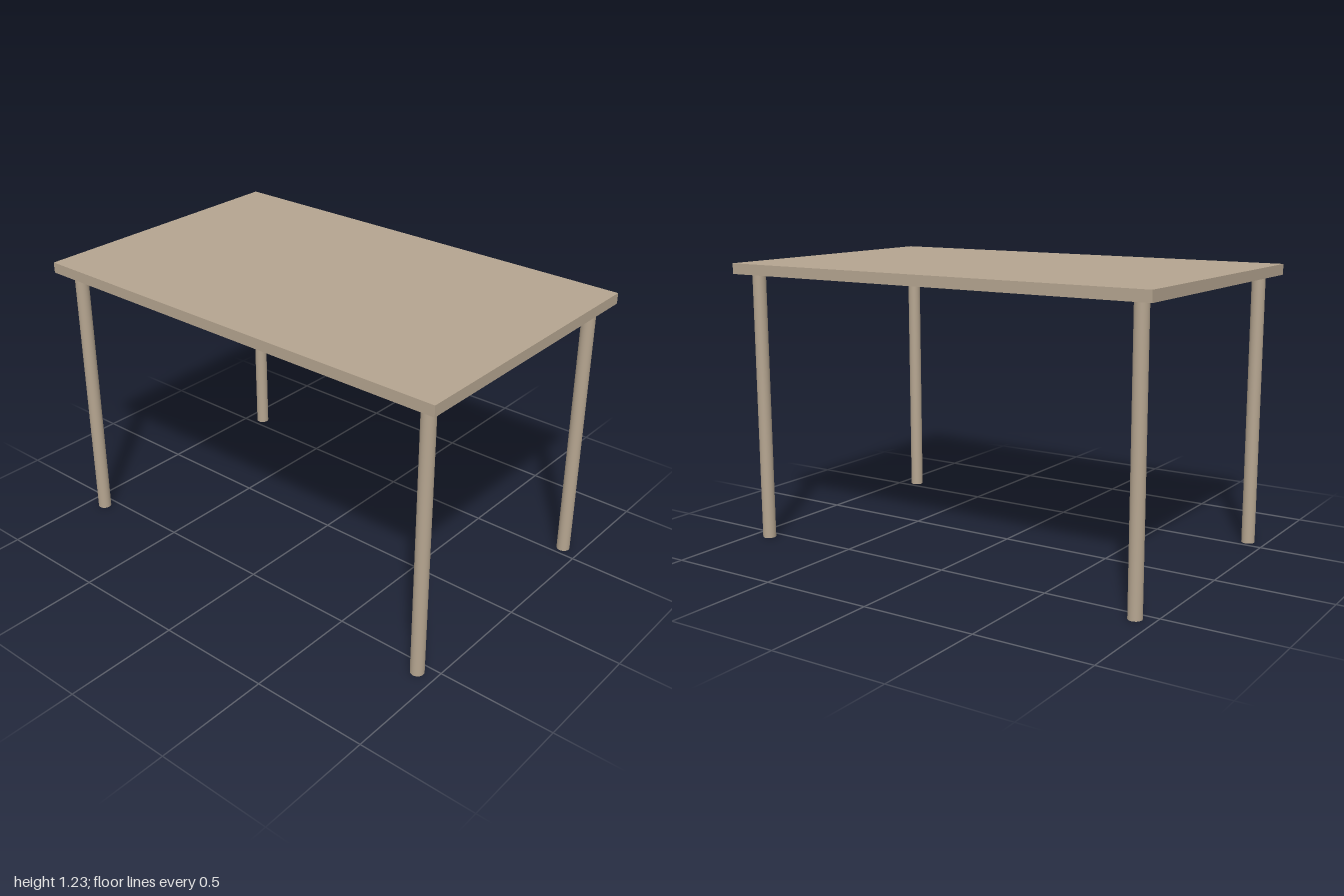
import * as THREE from 'three';

export function createModel() {
  const table = new THREE.Group();
  table.name = 'table';
  const wood = new THREE.MeshStandardMaterial({ color: 0xb5a590 });

  const width = 1.256, depth = 2, height = 1.232, thickness = 0.046;
  const legHeight = height - thickness, legRadius = 0.029, inset = 0.078;

  // Flat rectangular top
  const top = new THREE.Mesh(new THREE.BoxGeometry(width, thickness, depth), wood);
  top.name = 'tableTop';
  top.position.y = height - thickness / 2;
  table.add(top);

  // Four round legs, one near each corner
  const legGeometry = new THREE.CylinderGeometry(legRadius, legRadius, legHeight, 32);
  for (const [side, sx] of [['Left', 1], ['Right', -1]]) {
    for (const [end, sz] of [['front', 1], ['back', -1]]) {
      const leg = new THREE.Mesh(legGeometry, wood);
      leg.name = `${end}${side}Leg`;
      leg.position.set(sx * (width / 2 - inset), legHeight / 2, sz * (depth / 2 - inset));
      table.add(leg);
    }
  }
  return table;
}
